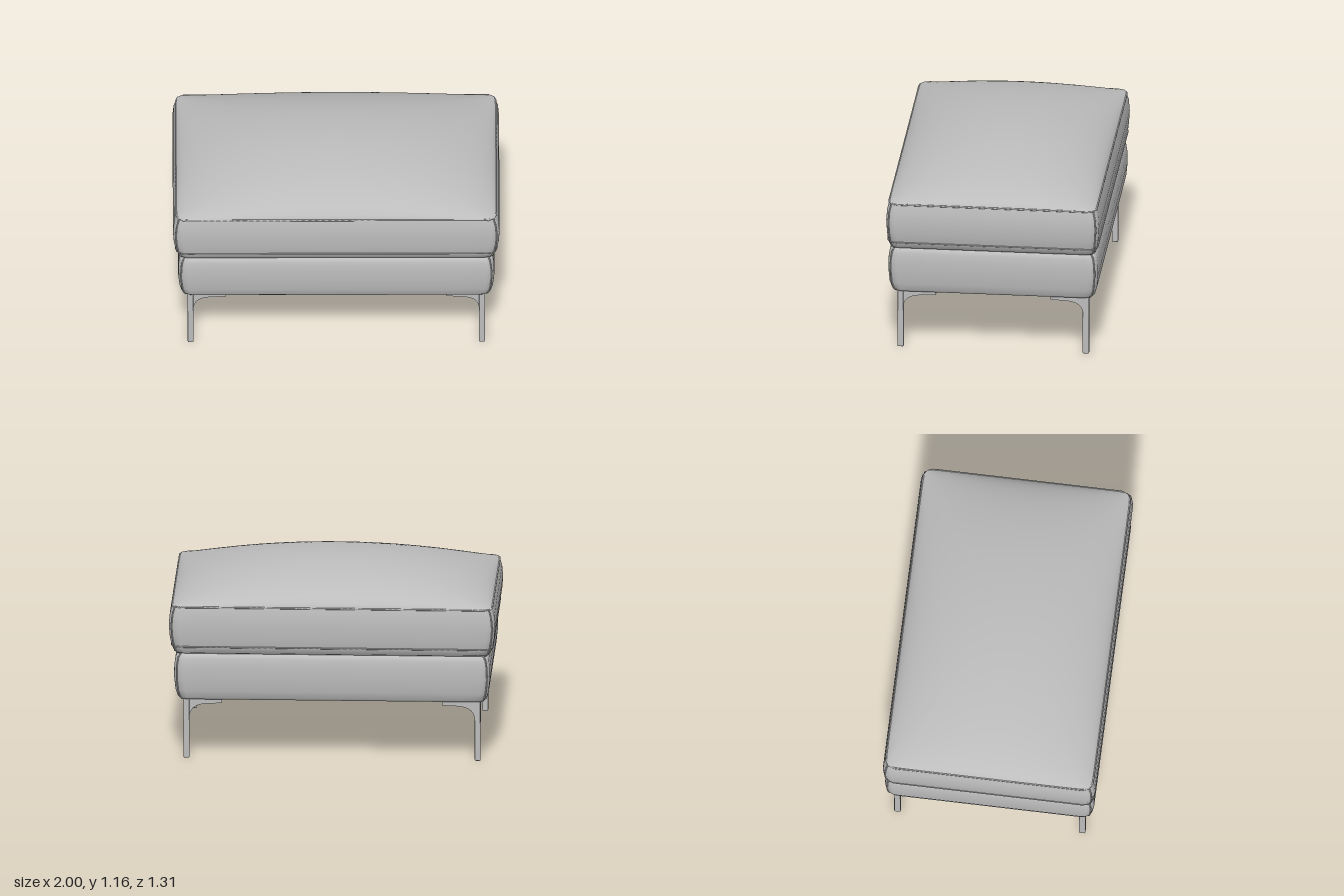
import * as THREE from 'three';
import { RoundedBoxGeometry } from 'three/addons/geometries/RoundedBoxGeometry.js';

// Rounded-rectangle outline at height y, with half sizes hx, hz
function outline(y, hx, hz, r = 0.06, side = 16, corner = 6) {
  const pts = [];
  const centres = [[1, 1], [-1, 1], [-1, -1], [1, -1]];
  centres.forEach(([sx, sz], k) => {
    for (let i = 0; i <= corner; i++) {
      const a = (k + i / corner) * Math.PI / 2;
      pts.push(new THREE.Vector3(sx * (hx - r) + r * Math.cos(a), y, sz * (hz - r) + r * Math.sin(a)));
    }
    // straight run to the next corner
    const [nx, nz] = centres[(k + 1) % 4];
    const a = (k + 1) * Math.PI / 2;
    const from = pts[pts.length - 1];
    const to = new THREE.Vector3(nx * (hx - r) + r * Math.cos(a), y, nz * (hz - r) + r * Math.sin(a));
    for (let i = 1; i < side; i++) pts.push(from.clone().lerp(to, i / side));
  });
  return pts;
}

// Skin a stack of closed rings, listed from bottom to top (or rim to centre)
function skin(rings) {
  const n = rings[0].length, pos = [], index = [];
  rings.forEach(ring => ring.forEach(p => pos.push(p.x, p.y, p.z)));
  for (let j = 0; j < rings.length - 1; j++) {
    for (let i = 0; i < n; i++) {
      const a = j * n + i, b = j * n + (i + 1) % n;
      index.push(a, a + n, b, b, a + n, b + n);
    }
  }
  const g = new THREE.BufferGeometry();
  g.setAttribute('position', new THREE.Float32BufferAttribute(pos, 3));
  g.setIndex(index);
  g.computeVertexNormals();
  return g;
}

const scaled = (ring, s) => ring.map(p => new THREE.Vector3(p.x * s, p.y, p.z * s));

export function createModel() {
  const model = new THREE.Group();
  model.name = 'ottoman';
  const grey = new THREE.MeshStandardMaterial({ color: 0xbcbcbc });
  grey.name = 'grey';

  const add = (name, geometry, parent = model) => {
    const mesh = new THREE.Mesh(geometry, grey);
    mesh.name = name;
    parent.add(mesh);
    return mesh;
  };
  const welt = (name, pts, closed, radius) => add(name, new THREE.TubeGeometry(
    new THREE.CatmullRomCurve3(pts, closed), closed ? 160 : 16, radius, 6, closed));

  // Profiles: height, half width, half depth
  const basePr = [[0.38, 0.935, 0.612], [0.395, 0.948, 0.625], [0.44, 0.96, 0.638], [0.52, 0.968, 0.645],
    [0.59, 0.967, 0.644], [0.64, 0.96, 0.637], [0.662, 0.95, 0.627], [0.67, 0.935, 0.612]];
  const cushionPr = [[0.67, 0.945, 0.612], [0.68, 0.968, 0.632], [0.72, 0.984, 0.645], [0.78, 0.995, 0.651],
    [0.85, 1.0, 0.655], [0.92, 0.994, 0.65], [0.97, 0.98, 0.638]];
  const base = basePr.map(p => outline(...p));
  const cushion = cushionPr.map(p => outline(...p));

  // Base box with flat underside and top
  add('baseSides', skin(base));
  add('baseUnderside', skin([scaled(base[0], 0), base[0]]));
  add('baseTop', skin([base[base.length - 1], scaled(base[base.length - 1], 0)]));

  // Cushion: boxed sides, flat underside and crowned top
  add('cushionSides', skin(cushion));
  add('cushionUnderside', skin([scaled(cushion[0], 0), cushion[0]]));
  const rim = cushion[cushion.length - 1];
  const crown = t => Math.pow(Math.max(0, 1 - t * t), 0.6);
  const dome = [];
  for (let j = 0; j <= 22; j++) {
    const ring = scaled(rim, Math.cos(j / 22 * Math.PI / 2));
    ring.forEach(p => { p.y += 0.192 * crown(p.x / 0.98) * crown(p.z / 0.638); });
    dome.push(ring);
  }
  add('cushionTop', skin(dome));

  // Seams round the cushion and down the corners
  welt('upperSeam', rim, true, 0.006);
  welt('lowerSeam', cushion[2], true, 0.005);
  for (const k of [0, 1, 2, 3]) {
    const i = k * 22 + 3;
    welt('cushionCornerSeam', cushion.map(r => r[i]), false, 0.005);
    welt('baseCornerSeam', base.map(r => r[i]), false, 0.005);
  }

  // Bracket arm: flat bar with a curved web running down into the post
  const arm = (length, thickness) => {
    const s = new THREE.Shape();
    s.moveTo(0, 0.385);
    s.lineTo(length, 0.385);
    s.lineTo(length, 0.35);
    s.lineTo(0.13, 0.345);
    s.bezierCurveTo(0.06, 0.335, 0.035, 0.31, 0.035, 0.24);
    s.lineTo(0, 0.24);
    const g = new THREE.ExtrudeGeometry(s, { depth: thickness, bevelEnabled: false, curveSegments: 10 });
    return g.translate(0, 0, -thickness / 2);
  };

  // Four legs, each with an arm along both edges of the base
  for (const sx of [-1, 1]) {
    for (const sz of [-1, 1]) {
      const leg = new THREE.Group();
      leg.name = (sz > 0 ? 'front' : 'back') + (sx > 0 ? 'Left' : 'Right') + 'Leg';
      leg.position.set(sx * 0.892, 0, sz * 0.57);
      const post = add('post', new RoundedBoxGeometry(0.036, 0.38, 0.04, 2, 0.008), leg);
      post.position.y = 0.19;
      const armX = add('sideArm', arm(0.235, 0.032), leg);
      armX.rotation.y = sx > 0 ? Math.PI : 0;
      armX.position.x = sx * 0.018;
      const armZ = add('depthArm', arm(0.237, 0.032), leg);
      armZ.rotation.y = sz > 0 ? Math.PI / 2 : -Math.PI / 2;
      armZ.position.z = sz * 0.02;
      model.add(leg);
    }
  }
  return model;
}
